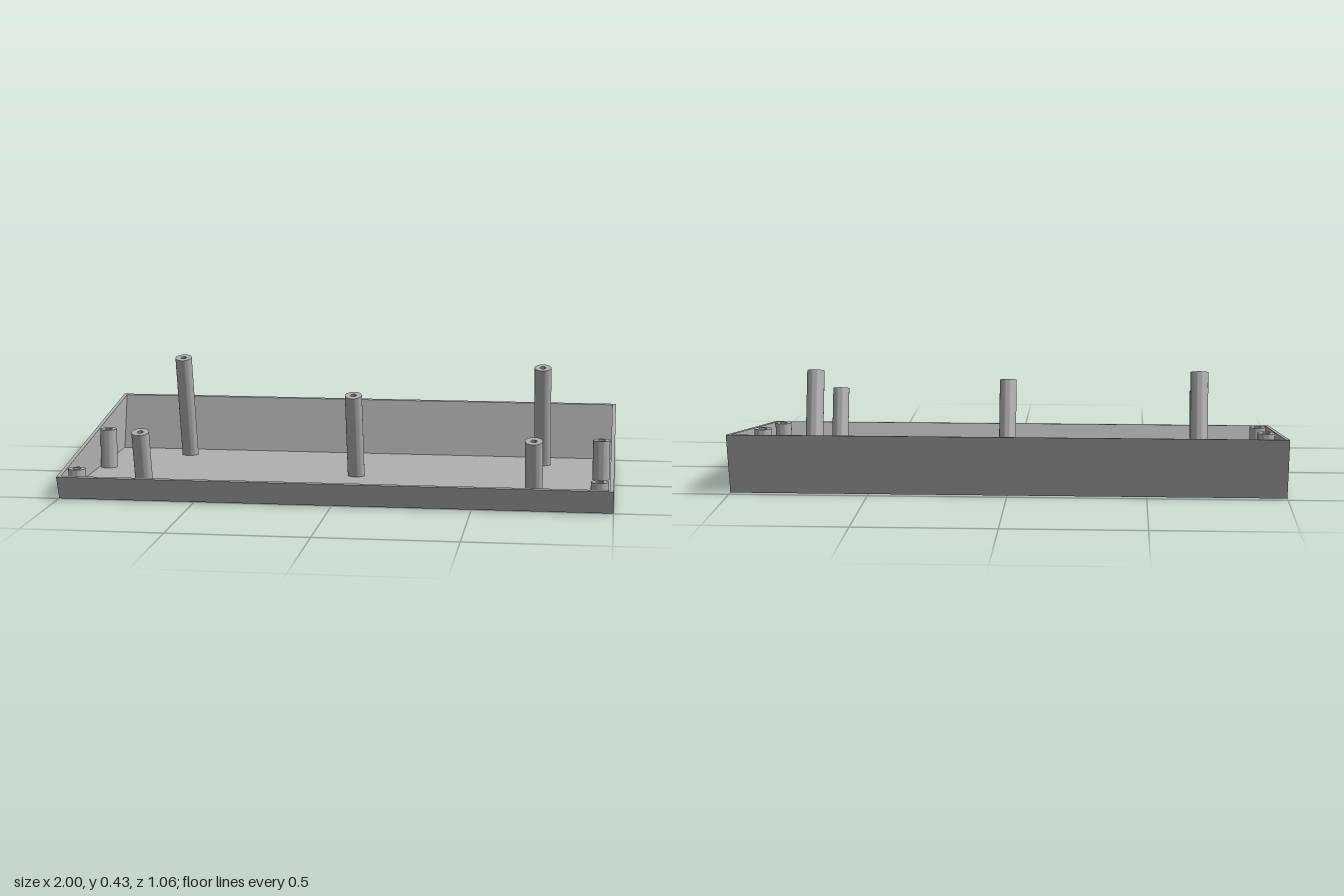
import * as THREE from 'three';
import { toCreasedNormals } from 'three/addons/utils/BufferGeometryUtils.js';

const FLOOR = 0.012, WALL = 0.014, TILT = Math.PI / 12;

export function createModel() {
  const model = new THREE.Group();
  model.name = 'enclosureBase';
  const grey = new THREE.MeshStandardMaterial({ color: 0xb0b0b0 });
  grey.name = 'grey plastic';

  const add = (name, geometry) => {
    const mesh = new THREE.Mesh(geometry, grey);
    mesh.name = name;
    model.add(mesh);
    return mesh;
  };

  // Side profile given as [z, y], extruded from x0 to x1
  const profile = (points, x0, x1) => {
    const shape = new THREE.Shape(points.map(([z, y]) => new THREE.Vector2(-z, y)));
    return new THREE.ExtrudeGeometry(shape, { depth: x1 - x0, bevelEnabled: false })
      .rotateY(Math.PI / 2).translate(x0, 0, 0);
  };
  const lathe = (points) =>
    new THREE.LatheGeometry(points.map(([r, y]) => new THREE.Vector2(r, y)), 32);

  // Wedge-shaped tray walls
  const inner = 1 - WALL;
  const side = [[0.53, 0.085], [0.495, 0], [-0.47, 0], [-0.53, 0.223]];
  add('rightWall', profile(side, -1, -inner));
  add('leftWall', profile(side, inner, 1));
  add('frontWall', profile(
    [[0.495, 0], [0.53, 0.085], [0.515, 0.087], [0.482, FLOOR], [0.482, 0]], -inner, inner));
  add('backWall', profile(
    [[-0.47, 0], [-0.53, 0.223], [-0.515, 0.221], [-0.46, FLOOR], [-0.46, 0]], -inner, inner));

  // Floor with two screw recesses near the front corners
  const floor = new THREE.Shape([
    new THREE.Vector2(-inner, -0.482), new THREE.Vector2(inner, -0.482),
    new THREE.Vector2(inner, 0.46), new THREE.Vector2(-inner, 0.46),
  ]);
  for (const x of [-0.95, 0.95]) {
    floor.holes.push(new THREE.Path().absarc(x, -0.425, 0.026, 0, Math.PI * 2, true));
  }
  add('floor', new THREE.ExtrudeGeometry(floor, { depth: FLOOR, bevelEnabled: false, curveSegments: 16 })
    .rotateX(-Math.PI / 2));

  // Upright screw bosses: front pair bored through, middle pair blind
  const r = 0.032, bore = 0.015;
  for (const x of [-0.95, 0.95]) {
    const through = lathe([[bore, FLOOR], [r, FLOOR], [r, 0.098], [bore, 0.098], [bore, FLOOR]]);
    add('frontBoss', toCreasedNormals(through, 0.6)).position.set(x, 0, 0.425);
    const blind = lathe([[r, FLOOR], [r, 0.161], [bore, 0.161], [bore, 0.03], [0, 0.03]]);
    add('middleBoss', toCreasedNormals(blind, 0.6)).position.set(x, 0, -0.055);
  }

  // Leaning support posts, placed by the centre of the top, with feet cut level at the floor
  const posts = [
    [-0.71, 0.24, 0.431], [0.715, 0.24, 0.431], [0.025, 0.334, 0.08],
    [-0.69, 0.418, -0.243], [0.72, 0.409, -0.213],
  ];
  for (const [x, y, z] of posts) {
    const geometry = lathe([[r, -1], [r, 0], [0.011, 0], [0.011, -0.06], [0, -0.06]]);
    const p = geometry.attributes.position;
    for (let i = 0; i < p.count; i++) {
      if (p.getY(i) < -0.9) {
        p.setY(i, (FLOOR - y + p.getZ(i) * Math.sin(TILT)) / Math.cos(TILT));
      }
    }
    const post = add('supportPost', toCreasedNormals(geometry, 0.6));
    post.position.set(x, y, z);
    post.rotation.x = TILT;
  }

  return model;
}
